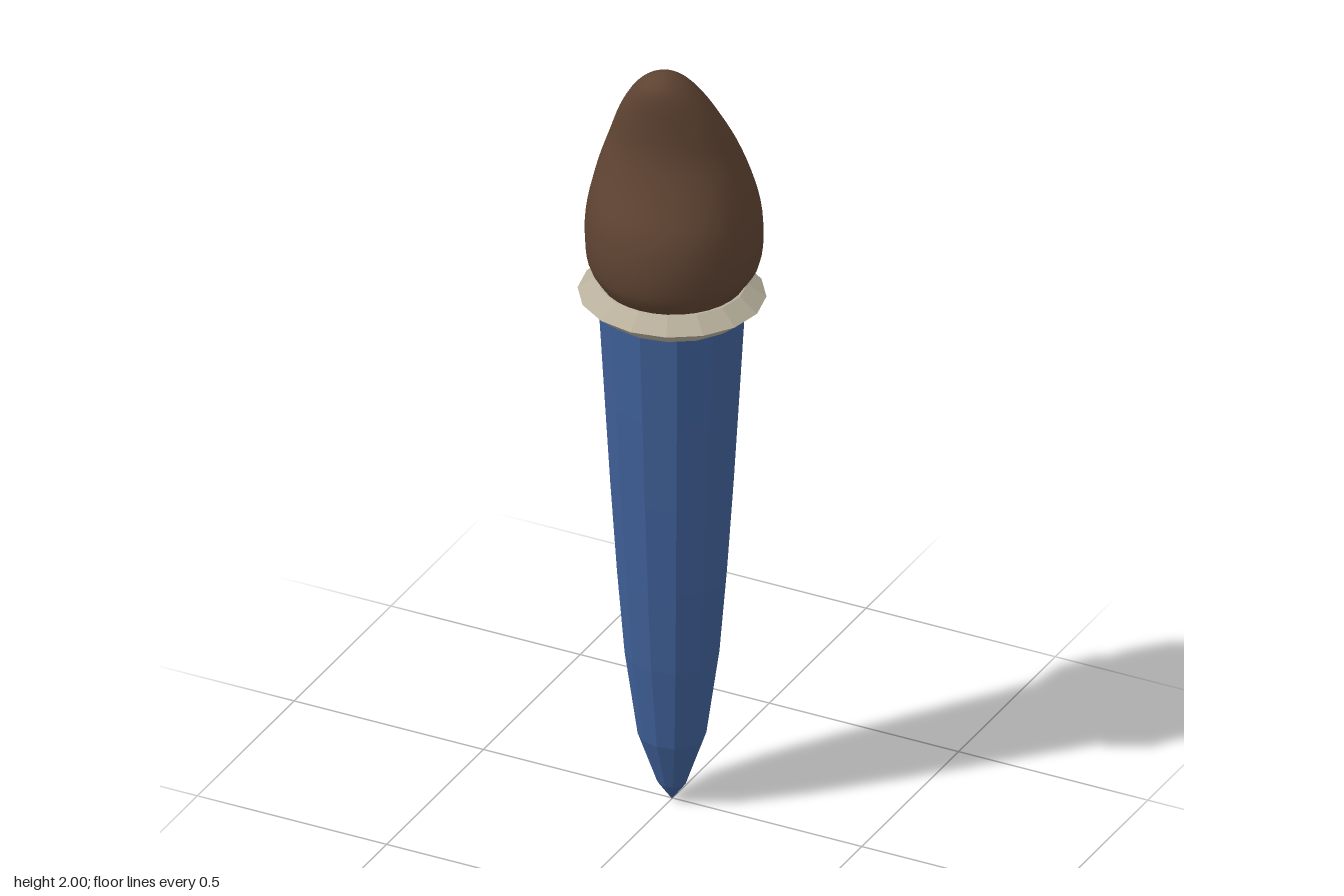
import * as THREE from 'three';
import { mergeVertices } from 'three/addons/utils/BufferGeometryUtils.js';

const points = (list) => list.map(([r, y]) => new THREE.Vector2(r, y));

// Faceted turned part, very slightly oval
function turned(name, profile, sides, color) {
  const geometry = new THREE.LatheGeometry(points(profile), sides);
  geometry.scale(1, 1, 0.95).translate(0, 0, 0.003);
  const mesh = new THREE.Mesh(geometry, new THREE.MeshStandardMaterial({ color, flatShading: true }));
  mesh.name = name;
  return mesh;
}

// Smooth tuft whose tip curls towards the front
function makeBristles() {
  // height, half width, front z, back z
  const rows = [
    [1.40, 0.165, 0.16, -0.165], [1.425, 0.18, 0.178, -0.185], [1.46, 0.202, 0.194, -0.207],
    [1.53, 0.212, 0.2, -0.216], [1.61, 0.208, 0.187, -0.204], [1.7, 0.19, 0.145, -0.166],
    [1.79, 0.159, 0.115, -0.126], [1.87, 0.125, 0.112, -0.083], [1.93, 0.09, 0.113, -0.047],
    [1.97, 0.057, 0.107, -0.012], [1.992, 0.027, 0.085, 0.025],
  ];
  const size = new THREE.CatmullRomCurve3(rows.map(([y, w, f, b]) => new THREE.Vector3(w, y, (f - b) / 2)));
  const lean = new THREE.CatmullRomCurve3(rows.map(([y, , f, b]) => new THREE.Vector3(0, y, (f + b) / 2)));
  const steps = 30;
  const rings = [{ w: 0, y: 1.4, d: 0, c: 0 }];
  for (let i = 0; i <= steps; i++) {
    const s = size.getPoint(i / steps);
    rings.push({ w: s.x, y: s.y, d: s.z, c: lean.getPoint(i / steps).z });
  }
  rings.push({ w: 0, y: 2, d: 0, c: 0.055 });

  const geometry = new THREE.LatheGeometry(points(rings.map((r) => [r.w, r.y])), 32);
  const pos = geometry.attributes.position;
  for (let i = 0; i < pos.count; i++) {
    const { w, d, c } = rings[i % rings.length];
    pos.setZ(i, c + (w > 0 ? (pos.getZ(i) * d) / w : 0));
  }
  geometry.deleteAttribute('uv');
  geometry.deleteAttribute('normal');
  const smooth = mergeVertices(geometry);
  smooth.computeVertexNormals();
  const mesh = new THREE.Mesh(smooth, new THREE.MeshStandardMaterial({ color: 0x5e4332 }));
  mesh.name = 'bristles';
  return mesh;
}

export function createModel() {
  const group = new THREE.Group();
  group.name = 'paintbrush';

  // Tapered handle ending in a point
  group.add(turned('handle', [
    [0, 0], [0.036, 0.05], [0.082, 0.18], [0.113, 0.4], [0.131, 0.62],
    [0.147, 0.86], [0.161, 1.1], [0.175, 1.345],
  ], 12, 0x3f6098));

  // Bevelled ring between handle and bristles
  group.add(turned('collar', [
    [0, 1.34], [0.178, 1.34], [0.225, 1.378], [0.18, 1.412], [0, 1.412],
  ], 16, 0xb8b09c));

  group.add(makeBristles());
  return group;
}
